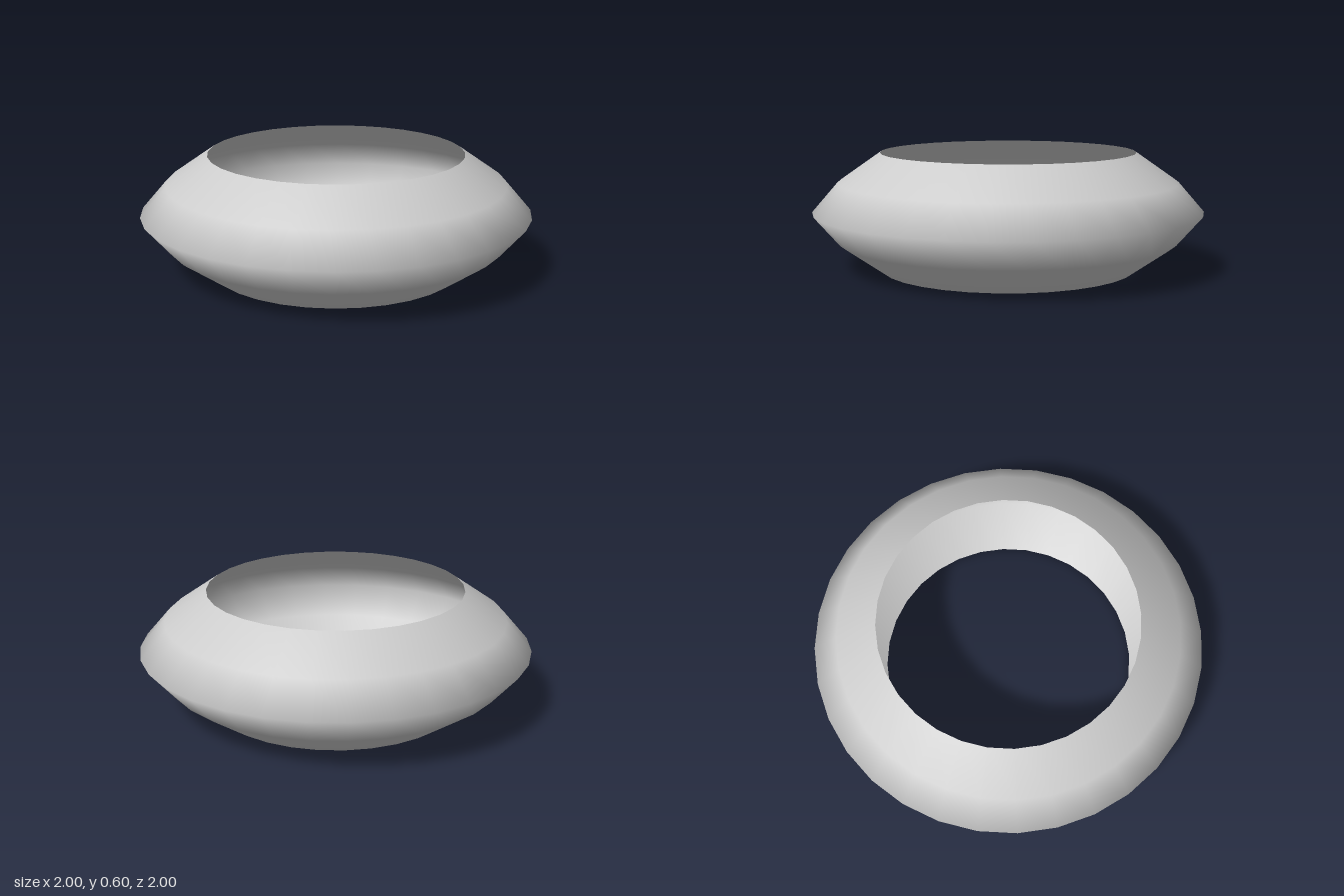
import * as THREE from 'three';

// Hollow ring: a thin shell that bulges outwards and is open towards the centre
const SEGMENTS = 32;
const outerProfile = [[0.655, 0], [0.87, 0.15], [1, 0.3], [0.87, 0.45], [0.655, 0.6]];
const innerProfile = [[0.655, 0.6], [0.86, 0.445], [0.985, 0.3], [0.86, 0.155], [0.655, 0]];

function sheet(name, profile, material) {
  const points = profile.map(([r, y]) => new THREE.Vector2(r, y));
  const mesh = new THREE.Mesh(new THREE.LatheGeometry(points, SEGMENTS), material);
  mesh.name = name;
  return mesh;
}

export function createModel() {
  const group = new THREE.Group();
  group.name = 'hollowRing';
  const material = new THREE.MeshStandardMaterial({ color: 0xcccccc });

  // Outer wall, bottom lip to top lip; inner lining runs back down
  group.add(sheet('outerWall', outerProfile, material));
  group.add(sheet('innerLining', innerProfile, material));
  return group;
}
